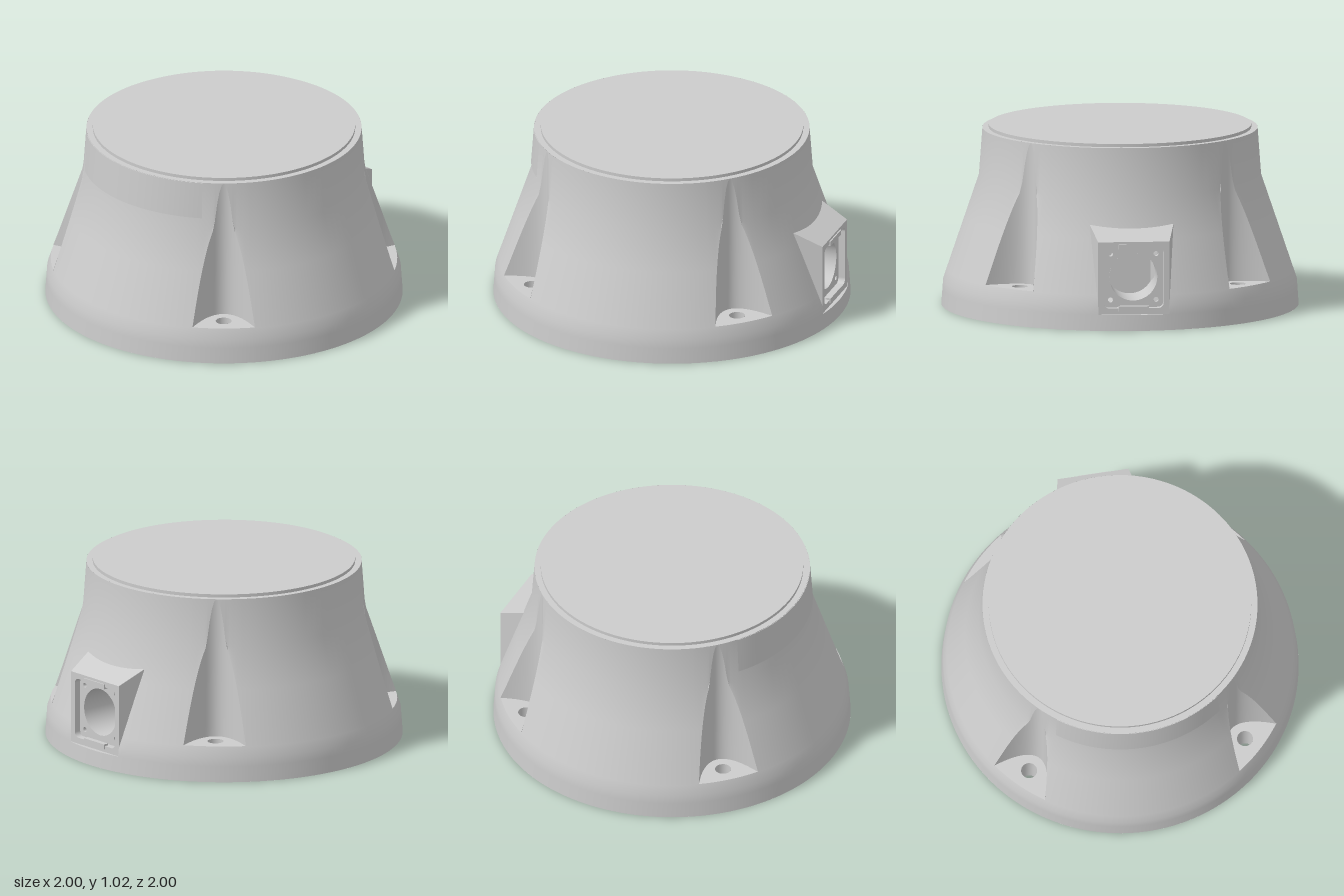
import * as THREE from 'three';
import { toCreasedNormals } from 'three/addons/utils/BufferGeometryUtils.js';

const material = new THREE.MeshStandardMaterial({ color: 0xcccccc, side: THREE.DoubleSide });
const deg = Math.PI / 180;
const BACK = -Math.PI / 2;

// Outer wall profile: radius by height, and its inverse
const wallR = (y) => y < 0.14 ? 1 - y / 14 : y < 0.73 ? 0.99 - (y - 0.14) / 0.59 * 0.2 : 0.79 - (y - 0.73) / 0.27 * 0.02;
const wallY = (r) => r > 0.79 ? 0.14 + (0.99 - r) / 0.2 * 0.59 : 0.73 + (0.79 - r) / 0.02 * 0.27;
const polar = (r, t, y) => new THREE.Vector3(r * Math.cos(t), y, r * Math.sin(t));

// Skin over rows of points, leaving out quads for which skip(row, column) holds
function loft(rows, skip = () => false) {
  const pos = [], index = [], n = rows[0].length;
  rows.forEach((row) => row.forEach((p) => pos.push(p.x, p.y, p.z)));
  for (let i = 0; i < rows.length - 1; i++) {
    for (let j = 0; j < n - 1; j++) {
      if (skip(i, j)) continue;
      const a = i * n + j, b = a + 1, c = a + n, d = c + 1;
      index.push(a, c, b, c, d, b);
    }
  }
  const geo = new THREE.BufferGeometry();
  geo.setAttribute('position', new THREE.Float32BufferAttribute(pos, 3));
  geo.setIndex(index);
  return toCreasedNormals(geo, 0.28);
}

function circlePath(x, y, r) {
  return new THREE.Path().absarc(x, y, r, 0, Math.PI * 2, true);
}

function roundRect(target, w, y0, y1, r) {
  const corners = [[w - r, y0 + r, -90], [w - r, y1 - r, 0], [r - w, y1 - r, 90], [r - w, y0 + r, 180]];
  corners.forEach(([x, y, a]) => target.absarc(x, y, r, a * deg, (a + 90) * deg, false));
  target.closePath();
  return target;
}

export function createModel() {
  const model = new THREE.Group();
  const add = (name, geo, parent = model) => {
    const mesh = new THREE.Mesh(geo, material);
    mesh.name = name;
    parent.add(mesh);
    return mesh;
  };

  // Wall columns: a parabolic scoop on each diagonal, plain wall between
  const SCOOP_W = 0.175;
  const scoopU = (v) => 0.77 + v * v / 0.165;
  const edge = Math.atan2(SCOOP_W, scoopU(SCOOP_W));
  const columns = [], scoops = [];
  for (let q = 0; q < 4; q++) {
    const mid = Math.PI / 4 + q * Math.PI / 2, scoop = [];
    for (let k = 0; k <= 28; k++) {
      const v = SCOOP_W * (k / 14 - 1), r = Math.hypot(scoopU(v), v);
      scoop.push({ t: mid + Math.atan2(v, scoopU(v)), r, top: THREE.MathUtils.clamp(wallY(r), 0.2, 1) });
    }
    scoops.push(scoop);
    columns.push(...scoop);
    for (let k = 1; k < 24; k++) {
      columns.push({ t: mid + edge + (Math.PI / 2 - 2 * edge) * k / 24, top: 0.2 });
    }
  }
  columns.push({ ...columns[0], t: columns[0].t + Math.PI * 2 });

  // Opening in the wall behind the connector
  const inWindow = (j) => {
    const t = (columns[j].t + columns[j + 1].t) / 2;
    return Math.abs(t - BACK - Math.PI * 2) < 0.2;
  };
  const ring = (y) => columns.map((c) => polar(wallR(y), c.t, y));
  const cutRing = (y) => columns.map((c) => {
    const h = Math.max(y, c.top);
    return polar(wallR(h), c.t, h);
  });
  add('baseWall', loft([0, 0.09, 0.14, 0.2].map(ring), (i, j) => i > 0 && inWindow(j)));
  add('upperWall', loft([0.2, 0.5, 0.73, 1].map(cutRing), (i, j) => i === 0 && inWindow(j)));

  // Mounting scoops with a floor and a bolt hole
  const floor = new THREE.Shape();
  for (let k = 0; k <= 28; k++) {
    const v = SCOOP_W * (k / 14 - 1);
    k ? floor.lineTo(scoopU(v), v) : floor.moveTo(scoopU(v), v);
  }
  floor.absarc(0, 0, wallR(0.2), edge, -edge, true);
  floor.holes.push(circlePath(0.865, 0, 0.045));
  scoops.forEach((scoop, q) => {
    const a = Math.PI / 4 + q * Math.PI / 2;
    add('scoopWall', loft([scoop.map((c) => polar(c.r, c.t, 0.2)), scoop.map((c) => polar(c.r, c.t, c.top))]));
    const pad = add('scoopFloor', new THREE.ShapeGeometry(floor, 24).rotateX(-Math.PI / 2));
    pad.position.y = 0.2;
    pad.rotation.y = -a;
    const bolt = add('boltHole', new THREE.CylinderGeometry(0.045, 0.045, 0.2, 24, 1, true));
    bolt.position.copy(polar(0.865, a, 0.1));
  });

  // Top rim and lid
  add('topRim', new THREE.CircleGeometry(0.77, 96).rotateX(-Math.PI / 2)).position.y = 1;
  add('lid', new THREE.CylinderGeometry(0.735, 0.735, 0.02, 96)).position.y = 1.008;

  // Thin raised panel on the front of the neck
  const panelRow = (y, lift) => Array.from({ length: 33 }, (_, k) =>
    polar(wallR(y) + lift, Math.PI / 2 + 0.63 * (k / 16 - 1), y));
  add('frontPanel', loft([panelRow(0.79, -0.003), panelRow(0.79, 0.003), panelRow(0.998, 0.003), panelRow(0.998, -0.003)]));

  // Underside with hollow pockets and screw holes
  const underside = new THREE.Shape().absarc(0, 0, 1, 0, Math.PI * 2, false);
  const pockets = [[16, 40], [66, 83], [106, 125], [144, 176], [196, 264], [286, 320], [338, 356]];
  pockets.forEach(([from, to]) => {
    const contour = (y) => {
      const pts = [], outer = 0.92 - 0.2 * y, n = 20;
      for (let k = 0; k <= n; k++) pts.push(polar(outer, (220 + from + (to - from) * k / n) * deg, y));
      for (let k = n; k >= 0; k--) pts.push(polar(0.65, (220 + from + (to - from) * k / n) * deg, y));
      return [...pts, pts[0].clone()];
    };
    const low = contour(0), high = contour(0.58);
    add('pocketWall', loft([low, high]));
    add('pocketCeiling', loft([high.slice(0, 21), high.slice(21, 42).reverse()]));
    underside.holes.push(new THREE.Path(low.slice(0, -1).map((p) => new THREE.Vector2(p.x, p.z)).reverse()));
  });
  const blindHole = (r, angle, size) => {
    const p = polar(r, angle, 0.05);
    underside.holes.push(circlePath(p.x, p.z, size));
    add('screwHole', new THREE.CylinderGeometry(size, size, 0.1, 20, 1, true)).position.copy(p);
    add('screwHoleEnd', new THREE.CircleGeometry(size, 20).rotateX(Math.PI / 2)).position.set(p.x, 0.1, p.z);
  };
  for (let q = 0; q < 4; q++) {
    const a = Math.PI / 4 + q * Math.PI / 2, p = polar(0.865, a, 0);
    underside.holes.push(circlePath(p.x, p.z, 0.045));
    blindHole(0.61, a, 0.03);
  }
  [130, 330].forEach((a) => blindHole(0.61, (220 + a) * deg, 0.035));
  add('underside', new THREE.ShapeGeometry(underside, 64).rotateX(Math.PI / 2));

  // Connector housing on the back
  const connector = new THREE.Group();
  connector.name = 'connector';
  model.add(connector);
  const frame = (w, top, z) => [[-w, 0.09], [-w, top], [w, top], [w, 0.09], [-w, 0.09]]
    .map(([x, y]) => new THREE.Vector3(x, y, z));
  add('housing', loft([frame(0.2, 0.5, -0.97), frame(0.235, 0.575, -0.81)]), connector);

  const rim = new THREE.Shape([[-0.2, 0.09], [0.2, 0.09], [0.2, 0.5], [-0.2, 0.5]].map((p) => new THREE.Vector2(...p)));
  rim.holes.push(roundRect(new THREE.Path(), 0.168, 0.125, 0.468, 0.03));
  add('housingRim', new THREE.ExtrudeGeometry(rim, { depth: 0.04, bevelEnabled: false }), connector).position.z = -0.97;

  // Flange with round bore and corner screw holes
  const flange = roundRect(new THREE.Shape(), 0.175, 0.118, 0.475, 0.03);
  flange.holes.push(circlePath(0, 0.297, 0.135));
  [-1, 1].forEach((sx) => [-1, 1].forEach((sy) =>
    flange.holes.push(circlePath(sx * 0.128, 0.297 + sy * 0.13, 0.014))));
  add('flange', new THREE.ExtrudeGeometry(flange, { depth: 0.03, bevelEnabled: false, curveSegments: 32 }), connector).position.z = -0.93;
  const bore = add('bore', new THREE.CylinderGeometry(0.135, 0.135, 0.26, 48, 1, true).rotateX(Math.PI / 2), connector);
  bore.position.set(0, 0.297, -0.8);
  add('boreEnd', new THREE.CircleGeometry(0.135, 48), connector).position.set(0, 0.297, -0.67);

  // Clip bars at the top and bottom of the rim
  [0.122, 0.472].forEach((y) =>
    add('clipBar', new THREE.BoxGeometry(0.17, 0.028, 0.03), connector).position.set(0, y, -0.962));

  // Ledge of the base under the connector face
  const arc = Array.from({ length: 17 }, (_, k) => polar(wallR(0.09), BACK + 0.202 * (k / 8 - 1), 0.09));
  add('ledge', loft([arc, arc.map((p) => new THREE.Vector3(p.x, 0.09, -0.965))]), connector);

  return model;
}
